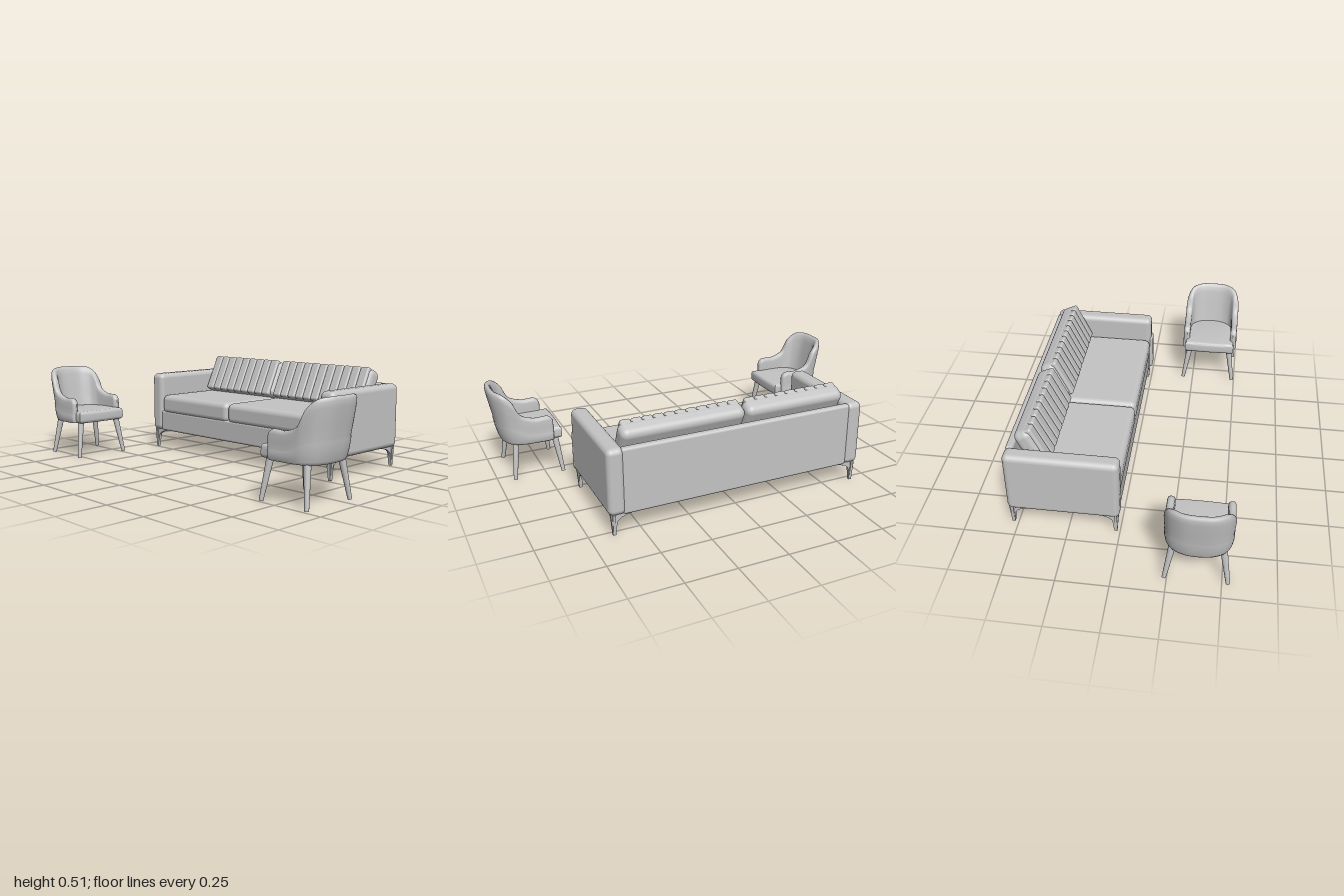
import * as THREE from 'three';
import { RoundedBoxGeometry } from 'three/addons/geometries/RoundedBoxGeometry.js';
import { toCreasedNormals } from 'three/addons/utils/BufferGeometryUtils.js';

const grey = new THREE.MeshStandardMaterial({ color: 0xc4c4c4 });
grey.name = 'light grey';
const V = (x, y, z) => new THREE.Vector3(x, y, z);

function add(parent, name, geometry) {
  const mesh = new THREE.Mesh(geometry, grey);
  mesh.name = name;
  parent.add(mesh);
  return mesh;
}

// Rounded box given by its limits on each axis
function softBox(parent, name, [x0, x1], [y0, y1], [z0, z1], r) {
  const mesh = add(parent, name, new RoundedBoxGeometry(x1 - x0, y1 - y0, z1 - z0, 4, r));
  mesh.position.set((x0 + x1) / 2, (y0 + y1) / 2, (z0 + z1) / 2);
  return mesh;
}

// Tapered round leg between two points
function roundLeg(parent, name, top, foot) {
  const mesh = add(parent, name, new THREE.CylinderGeometry(0.018, 0.01, top.distanceTo(foot), 16));
  mesh.position.copy(top).add(foot).multiplyScalar(0.5);
  mesh.quaternion.setFromUnitVectors(V(0, 1, 0), top.clone().sub(foot).normalize());
}

// Corner bracket leg: two tapering wings meeting at the corner
function bracketLeg(parent, x, z, turn) {
  const leg = new THREE.Group();
  leg.name = 'sofaLeg';
  const s = new THREE.Shape();
  s.moveTo(0, 0.105);
  s.lineTo(0.008, 0);
  s.lineTo(0.022, 0);
  s.lineTo(0.03, 0.06);
  s.quadraticCurveTo(0.035, 0.088, 0.1, 0.098);
  s.lineTo(0.1, 0.105);
  const wing = new THREE.ExtrudeGeometry(s, { depth: 0.014, bevelEnabled: false, curveSegments: 6 });
  wing.translate(0, 0, 0.008);
  add(leg, 'legWing', wing);
  add(leg, 'legWing', wing.clone().rotateY(-Math.PI / 2).translate(0.03, 0, 0));
  leg.position.set(x, 0, z);
  leg.rotation.y = turn;
  parent.add(leg);
}

function createSofa() {
  const sofa = new THREE.Group();
  sofa.name = 'sofa';
  softBox(sofa, 'base', [-0.61, 0.59], [0.1, 0.215], [-0.53, -0.008], 0.012);
  softBox(sofa, 'backPanel', [-0.61, 0.59], [0.1, 0.428], [-0.543, -0.505], 0.014);
  softBox(sofa, 'rightArm', [-0.683, -0.597], [0.1, 0.43], [-0.545, 0], 0.028);
  softBox(sofa, 'leftArm', [0.575, 0.66], [0.1, 0.43], [-0.545, 0], 0.028);
  softBox(sofa, 'armFrontPad', [0.585, 0.66], [0.1, 0.31], [-0.03, 0.01], 0.018);

  for (const [x0, x1] of [[-0.6, -0.062], [-0.06, 0.577]]) {
    softBox(sofa, 'seatCushion', [x0, x1], [0.2, 0.308], [-0.5, -0.004], 0.03);
  }

  // Leaning back cushions with vertical padded channels
  for (const [x0, x1] of [[-0.593, -0.054], [-0.05, 0.573]]) {
    const cushion = new THREE.Group();
    cushion.name = 'backCushion';
    softBox(cushion, 'cushionCore', [x0, x1], [-0.107, 0.107], [-0.05, 0.042], 0.035);
    const n = Math.round((x1 - x0 - 0.03) / 0.056);
    const w = (x1 - x0 - 0.03) / n;
    for (let i = 0; i < n; i++) {
      const x = x0 + 0.015 + i * w;
      softBox(cushion, 'channel', [x, x + w], [-0.105, 0.105], [-0.03, 0.05], 0.012);
    }
    cushion.position.set(0, 0.402, -0.425);
    cushion.rotation.x = -0.44;
    sofa.add(cushion);
  }

  bracketLeg(sofa, -0.67, -0.54, 0);
  bracketLeg(sofa, 0.65, -0.54, -Math.PI / 2);
  bracketLeg(sofa, 0.65, -0.006, Math.PI);
  bracketLeg(sofa, -0.67, -0.006, Math.PI / 2);
  return sofa;
}

// Smooth curve through one half of a rail, mirrored across z
function rail(half) {
  const pts = half.map((p) => V(...p));
  const other = half.slice(0, -1).reverse().map(([x, y, z]) => V(x, y, -z));
  return new THREE.CatmullRomCurve3([...pts, ...other]);
}

const topRail = rail([
  [-0.13, 0.295, 0.135], [-0.108, 0.32, 0.137], [-0.03, 0.323, 0.139], [0.035, 0.35, 0.139],
  [0.075, 0.425, 0.137], [0.118, 0.464, 0.118], [0.15, 0.474, 0.07], [0.157, 0.475, 0]]);
const bottomRail = rail([
  [-0.13, 0.19, 0.135], [-0.11, 0.188, 0.137], [-0.05, 0.188, 0.137], [0, 0.188, 0.135],
  [0.045, 0.188, 0.127], [0.078, 0.188, 0.105], [0.1, 0.188, 0.06], [0.106, 0.188, 0]]);

// Wrap-around shell: sections [offset, height] swept between the two rails
function shellGeometry() {
  const outer = [[0.7, 0], [1, 0.05], [1.15, 0.2], [1.1, 0.34], [0.95, 0.38], [1, 0.6],
    [1, 0.85], [0.85, 0.94], [0.5, 0.985], [0, 1]];
  const inner = outer.slice(0, -1).reverse().map(([o, f]) => [-Math.min(o, 1), f]);
  const section = [...outer, ...inner];
  const n = section.length, steps = 96, pos = [], index = [];
  for (let i = 0; i <= steps; i++) {
    const u = i / steps;
    const a = bottomRail.getPoint(u), b = topRail.getPoint(u);
    const t = topRail.getTangent(u).add(bottomRail.getTangent(u)).setY(0).normalize();
    const end = Math.min(1, Math.min(u, 1 - u) / 0.06);
    const thick = 0.018 * Math.sqrt(1 - (1 - end) ** 2);
    for (const [o, f] of section) {
      const p = a.clone().lerp(b, f);
      pos.push(p.x - t.z * o * thick, p.y, p.z + t.x * o * thick);
    }
  }
  for (let i = 0; i < steps; i++) {
    for (let j = 0; j < n; j++) {
      const k = (j + 1) % n, r = i * n, q = r + n;
      index.push(r + j, q + j, q + k, r + j, q + k, r + k);
    }
  }
  const g = new THREE.BufferGeometry();
  g.setAttribute('position', new THREE.Float32BufferAttribute(pos, 3));
  g.setIndex(index);
  g.computeVertexNormals();
  return g;
}

// Padded seat with a rounded rear
function seatGeometry() {
  const s = new THREE.Shape();
  s.moveTo(-0.155, -0.125);
  s.lineTo(-0.02, -0.118);
  s.bezierCurveTo(0.06, -0.115, 0.09, -0.07, 0.09, 0);
  s.bezierCurveTo(0.09, 0.07, 0.06, 0.115, -0.02, 0.118);
  s.lineTo(-0.155, 0.125);
  s.quadraticCurveTo(-0.163, 0, -0.155, -0.125);
  const g = new THREE.ExtrudeGeometry(s, {
    depth: 0.03, bevelThickness: 0.017, bevelSize: 0.017, bevelSegments: 5, curveSegments: 12 });
  g.rotateX(-Math.PI / 2).translate(0, 0.205, 0);
  return toCreasedNormals(g, 0.7);
}

// Chair with its open side towards -x
function createChair(name) {
  const chair = new THREE.Group();
  chair.name = name;
  add(chair, 'wrapAroundBack', shellGeometry());
  add(chair, 'chairSeat', seatGeometry());
  for (const s of [1, -1]) {
    roundLeg(chair, 'rearLeg', V(0.06, 0.225, 0.108 * s), V(0.09, 0.002, 0.145 * s));
    roundLeg(chair, 'frontLeg', V(-0.135, 0.22, 0.112 * s), V(-0.164, 0.002, 0.147 * s));
  }
  return chair;
}

export function createModel() {
  const model = new THREE.Group();
  model.name = 'loungeSet';
  const leftChair = createChair('leftChair');
  leftChair.position.set(0.825, 0, 0.34);
  const rightChair = createChair('rightChair');
  rightChair.position.set(-0.825, 0, 0.383);
  rightChair.rotation.y = Math.PI;
  model.add(createSofa(), leftChair, rightChair);
  return model;
}
